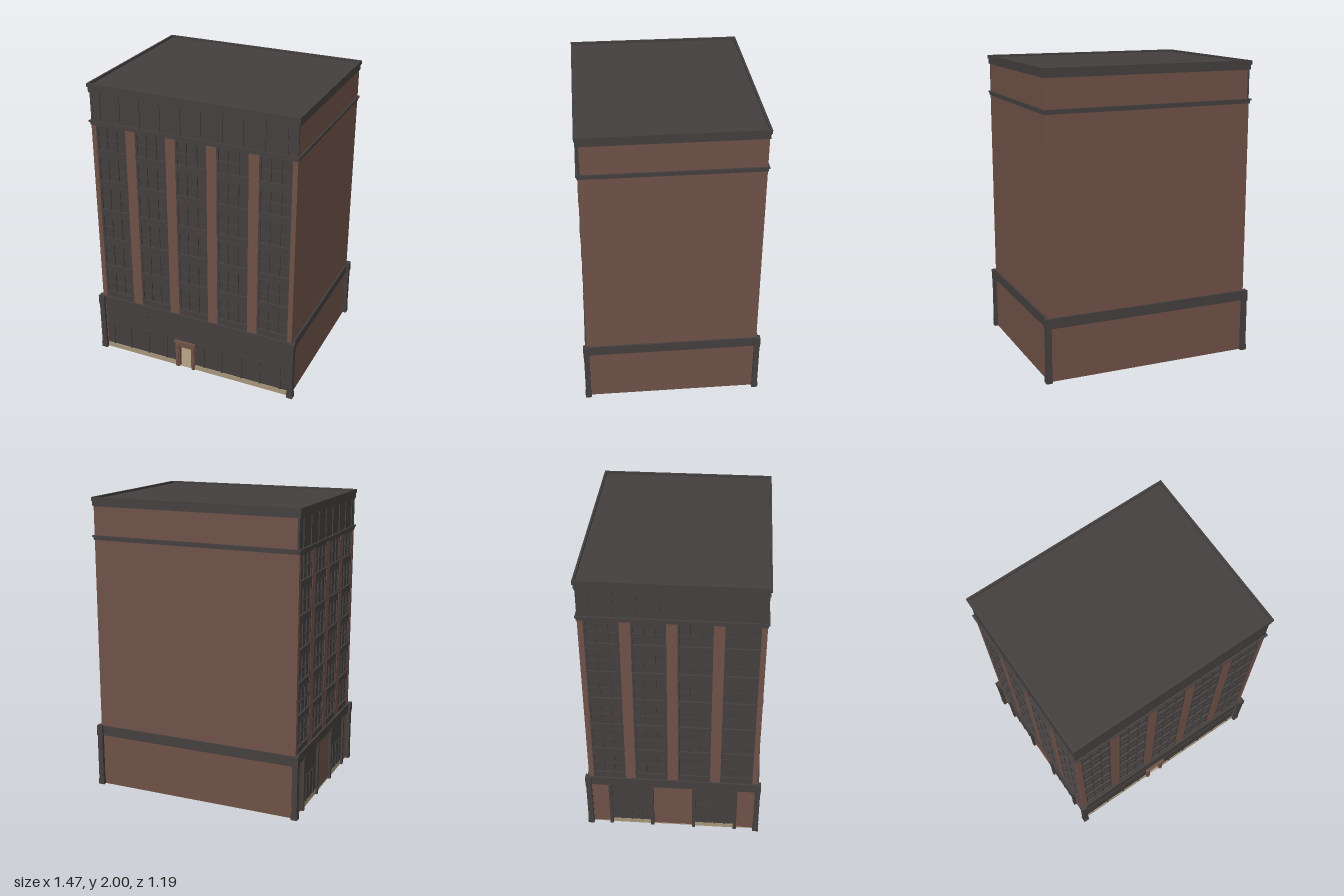
import * as THREE from 'three';

const mat = (name, color) => {
  const m = new THREE.MeshStandardMaterial({ color });
  m.name = name;
  return m;
};

export function createModel() {
  const dark = mat('dark iron', 0x443f3f);
  const brick = mat('red brown brick', 0x6f5147);
  const sand = mat('sand stone', 0xa6967a);
  const model = new THREE.Group();
  model.name = 'cornerBuilding';

  // Box given by its extents along each axis
  const box = (parent, name, m, x0, x1, y0, y1, z0, z1) => {
    const mesh = new THREE.Mesh(new THREE.BoxGeometry(x1 - x0, y1 - y0, z1 - z0), m);
    mesh.position.set((x0 + x1) / 2, (y0 + y1) / 2, (z0 + z1) / 2);
    mesh.name = name;
    parent.add(mesh);
    return mesh;
  };

  // Four-sided band around the building, half sizes hx and hz
  const band = (name, hx, hz, y0, y1) => box(model, name, dark, -hx, hx, y0, y1, -hz, hz);

  // Tower core; the front and the left side are set back for the facades
  box(model, 'towerCore', brick, -0.695, 0.71, 0.37, 1.95, -0.57, 0.555);
  band('baseCornice', 0.717, 0.577, 0.36, 0.42);
  band('baseCorniceLip', 0.722, 0.582, 0.42, 0.43);
  band('upperBand', 0.715, 0.575, 1.72, 1.74);
  band('upperBandLip', 0.722, 0.581, 1.74, 1.75);
  band('crown', 0.716, 0.576, 1.94, 1.985);

  // Low rim around the roof
  for (const s of [-1, 1]) {
    box(model, 'roofRim', dark, -0.721, 0.721, 1.975, 2, s * 0.575 - 0.007, s * 0.575 + 0.007);
    box(model, 'roofRim', dark, s * 0.714 - 0.007, s * 0.714 + 0.007, 1.975, 2, -0.58, 0.58);
  }

  // Corner posts of the base
  for (const sx of [-1, 1]) for (const sz of [-1, 1]) {
    const post = (name, r, y0, y1) => box(model, name, dark,
      sx * 0.714 - r, sx * 0.714 + r, y0, y1, sz * 0.574 - r, sz * 0.574 + r);
    post('cornerPost', 0.018, 0, 0.42);
    post('postFoot', 0.021, 0, 0.04);
    post('postCap', 0.021, 0.36, 0.432);
  }

  // Facade with window bays; local x runs across, z points outward
  const facade = (name, half, bays) => {
    const g = new THREE.Group();
    g.name = name;
    const pitch = 0.285, w = 0.108, y0 = 0.43, floorH = 1.29 / 6;
    const centers = Array.from({ length: bays }, (_, i) => (i - (bays - 1) / 2) * pitch);
    // Brick piers between the bays
    let edge = -half;
    for (const c of [...centers, half + w]) {
      box(g, 'brickPier', brick, edge, c - w, y0, 1.72, -0.005, 0.015);
      edge = c + w;
    }
    for (const c of centers) {
      box(g, 'windowGlass', dark, c - w, c + w, y0, 1.72, -0.003, 0.003);
      for (let f = 0; f < 6; f++) {
        const y = y0 + f * floorH;
        box(g, 'spandrel', dark, c - w, c + w, y, y + 0.038, 0, 0.012);
        box(g, 'windowSill', dark, c - w - 0.003, c + w + 0.003, y + 0.038, y + 0.047, 0, 0.018);
        box(g, 'windowTransom', dark, c - w, c + w, y + 0.118, y + 0.128, 0, 0.01);
        box(g, 'windowHead', dark, c - w, c + w, y + floorH - 0.01, y + floorH, 0, 0.014);
      }
      for (const u of [-0.102, -0.036, 0.036, 0.102])
        box(g, 'windowMullion', dark, c + u - 0.006, c + u + 0.006, y0, 1.72, 0, 0.012);
    }
    // Panelled frieze with slim ribs
    box(g, 'frieze', dark, -half, half, 1.745, 1.945, -0.005, 0.013);
    for (let i = 0; i < bays * 2; i++) {
      const x = (i - bays + 0.5) * pitch / 2;
      box(g, 'friezeRib', dark, x - 0.004, x + 0.004, 1.75, 1.94, 0, 0.019);
    }
    model.add(g);
    return g;
  };
  const front = facade('frontFacade', 0.71, 5);
  front.position.z = 0.555;
  const left = facade('sideFacade', 0.57, 4);
  left.position.x = -0.695;
  left.rotation.y = -Math.PI / 2;

  // Hollow ground floor: slab, plain walls
  box(model, 'floorSlab', sand, -0.708, 0.708, 0, 0.005, -0.568, 0.568);
  box(model, 'baseBackWall', brick, -0.71, 0.71, 0.001, 0.37, -0.57, -0.55);
  box(model, 'baseRightWall', brick, 0.69, 0.71, 0.001, 0.37, -0.57, 0.57);
  box(model, 'baseLeftWall', brick, -0.705, -0.69, 0.001, 0.37, -0.57, 0.57);

  // Front shopfront on both sides of the doorway
  for (const [a, b] of [[-0.7, -0.115], [-0.02, 0.7]]) {
    box(model, 'frontPlinth', sand, a, b, 0.001, 0.036, 0.55, 0.571);
    box(model, 'shopfront', dark, a, b, 0.036, 0.37, 0.55, 0.565);
  }
  box(model, 'wallOverDoor', dark, -0.115, -0.02, 0.168, 0.37, 0.55, 0.565);
  for (const x of [-0.64, -0.503, -0.36, -0.217, 0.073, 0.21, 0.352, 0.49, 0.635])
    box(model, 'shopMullion', dark, x - 0.005, x + 0.005, 0.036, 0.215, 0.56, 0.572);
  box(model, 'shopTransom', dark, -0.7, 0.7, 0.213, 0.221, 0.56, 0.569);
  for (const c of [-0.43, 0.28]) {
    box(model, 'signRail', dark, c - 0.135, c + 0.135, 0.35, 0.36, 0.56, 0.576);
    for (const s of [-0.072, 0.072])
      box(model, 'signBracket', dark, c + s - 0.004, c + s + 0.004, 0.33, 0.352, 0.56, 0.574);
  }

  // Doorway surround
  const door = new THREE.Group();
  door.name = 'doorway';
  model.add(door);
  for (const [a, b] of [[-0.142, -0.112], [-0.023, 0.004]]) {
    box(door, 'doorJamb', brick, a, b, 0, 0.195, 0.55, 0.578);
    box(door, 'doorPilaster', brick, a + 0.007, b - 0.007, 0, 0.185, 0.57, 0.583);
  }
  box(door, 'doorLintel', brick, -0.142, 0.004, 0.166, 0.2, 0.55, 0.579);
  box(door, 'doorCornice', brick, -0.15, 0.01, 0.198, 0.212, 0.55, 0.588);

  // Left side ground floor: two shop windows between pilasters
  for (const c of [-0.286, 0.286]) {
    box(model, 'sidePlinth', sand, -0.711, -0.7, 0.001, 0.036, c - 0.14, c + 0.14);
    box(model, 'sideShopfront', dark, -0.71, -0.7, 0.036, 0.36, c - 0.14, c + 0.14);
    for (const u of [-0.07, 0, 0.07])
      box(model, 'sideMullion', dark, -0.716, -0.705, 0.036, 0.215, c + u - 0.004, c + u + 0.004);
    box(model, 'sideTransom', dark, -0.715, -0.705, 0.213, 0.221, c - 0.14, c + 0.14);
    for (const s of [-0.143, 0.143])
      box(model, 'sidePilaster', dark, -0.725, -0.7, 0, 0.37, c + s - 0.011, c + s + 0.011);
  }
  return model;
}
